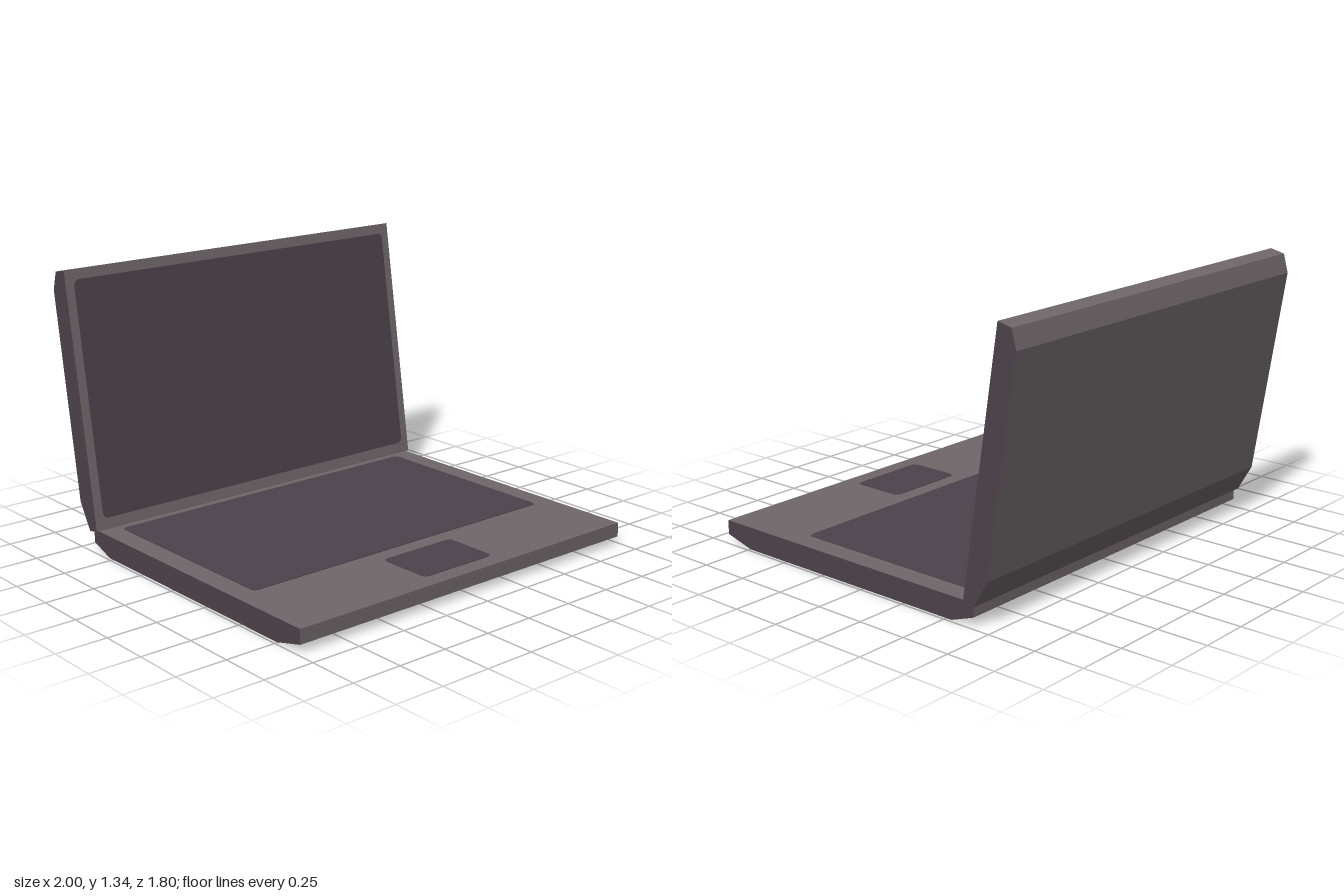
import * as THREE from 'three';

const shell = new THREE.MeshStandardMaterial({ color: 0x70676a });
shell.name = 'warm grey shell';
const panel = new THREE.MeshStandardMaterial({ color: 0x4d424b });
panel.name = 'dark plum panel';

// Side profile given as [z, y] points, extruded across x; the end caps are dark
function slab(name, profile, halfWidth) {
  const shape = new THREE.Shape(profile.map(([z, y]) => new THREE.Vector2(-z, y)));
  const geo = new THREE.ExtrudeGeometry(shape, { depth: halfWidth * 2, bevelEnabled: false });
  geo.translate(0, 0, -halfWidth).rotateY(Math.PI / 2);
  const mesh = new THREE.Mesh(geo, [panel, shell]);
  mesh.name = name;
  return mesh;
}

// Thin plate with rounded corners, drawn in XY and facing +z
function plate(name, halfWidth, v0, v1, r) {
  const s = new THREE.Shape();
  const w = halfWidth;
  s.moveTo(-w + r, v0).lineTo(w - r, v0);
  s.absarc(w - r, v0 + r, r, -Math.PI / 2, 0);
  s.absarc(w - r, v1 - r, r, 0, Math.PI / 2);
  s.absarc(-w + r, v1 - r, r, Math.PI / 2, Math.PI);
  s.absarc(-w + r, v0 + r, r, Math.PI, Math.PI * 1.5);
  const geo = new THREE.ExtrudeGeometry(s, { depth: 0.003, bevelEnabled: false, curveSegments: 6 });
  const mesh = new THREE.Mesh(geo, panel);
  mesh.name = name;
  return mesh;
}

export function createModel() {
  const model = new THREE.Group();
  model.name = 'laptop';

  // Base with chamfered underside
  model.add(slab('base', [
    [0.9, 0.11], [0.9, 0.04], [0.745, 0], [-0.53, 0], [-0.655, 0.045], [-0.655, 0.11],
  ], 0.985));

  // Lid leaning back, chamfered along its outer edges
  model.add(slab('lid', [
    [-0.61, 0.112], [-0.67, 0.1], [-0.745, 0.23], [-0.9, 1.235], [-0.875, 1.325], [-0.803, 1.342],
  ], 1));

  // Screen follows the tilt of the lid
  const screen = plate('screen', 0.955, 0.055, 1.195, 0.03);
  screen.position.set(0, 0.112, -0.61);
  screen.rotation.x = -Math.atan2(0.193, 1.23);
  model.add(screen);

  // Keyboard and touchpad lie flat on the base (plate v becomes -z)
  const keyboard = plate('keyboard', 0.88, -0.455, 0.575, 0.025);
  const touchpad = plate('touchpad', 0.208, -0.815, -0.54, 0.025);
  for (const p of [keyboard, touchpad]) {
    p.rotation.x = -Math.PI / 2;
    p.position.y = 0.11;
    model.add(p);
  }
  return model;
}
